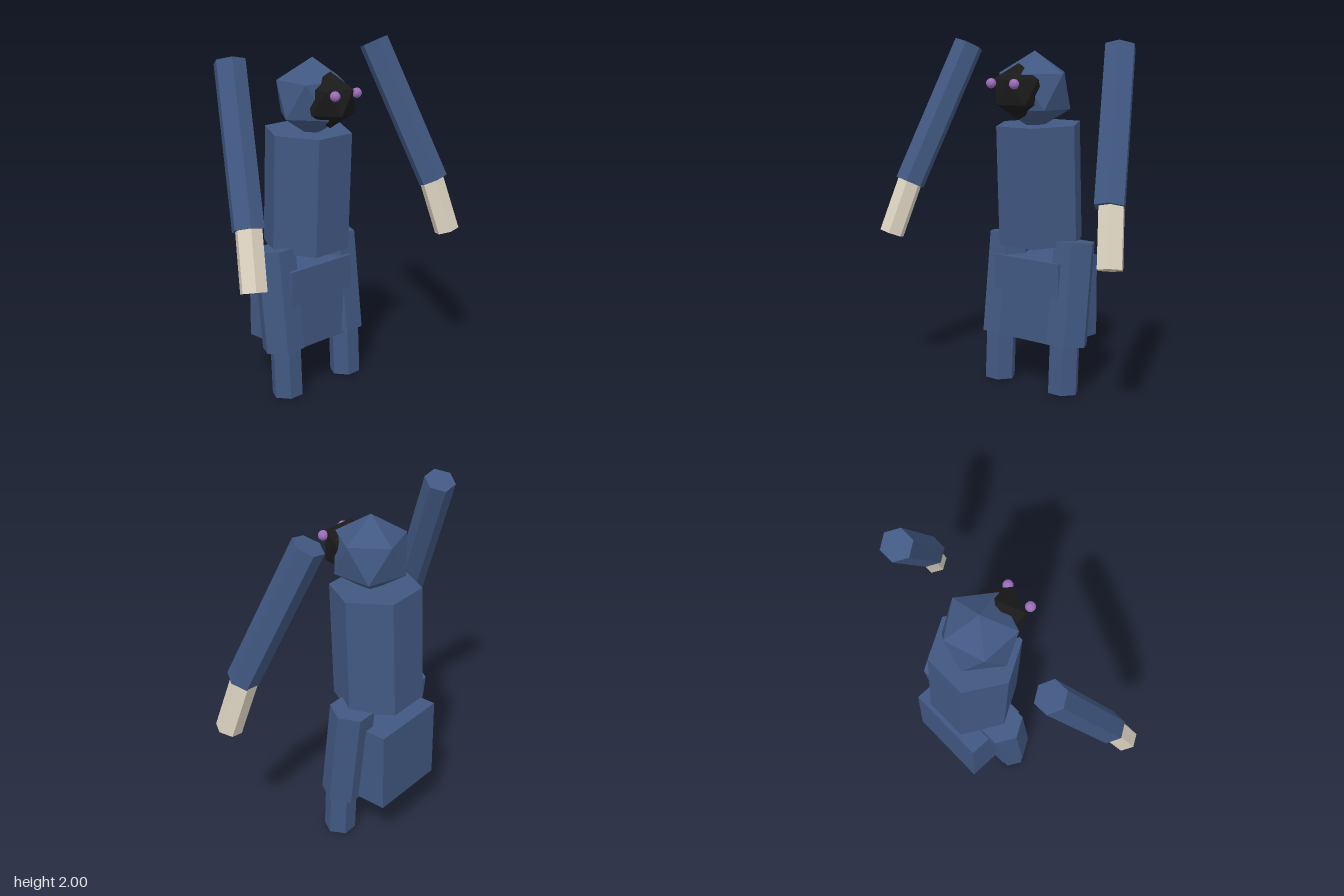
import * as THREE from 'three';

const mat = (name, color) => {
  const m = new THREE.MeshStandardMaterial({ color, flatShading: true });
  m.name = name;
  return m;
};

export function createModel() {
  const blue = mat('slateBlue', 0x415882);
  const bone = mat('bone', 0xdcd3c0);
  const black = mat('black', 0x1b1a1a);
  const purple = mat('purple', 0x9a6cba);
  const group = new THREE.Group();
  const up = new THREE.Vector3(0, 1, 0);

  const add = (name, geometry, material, x, y, z) => {
    const mesh = new THREE.Mesh(geometry, material);
    mesh.name = name;
    mesh.position.set(x, y, z);
    group.add(mesh);
    return mesh;
  };

  // Six-sided prism between two end centres, corners pointing sideways
  const prism = (name, material, radius, bottom, top) => {
    const a = new THREE.Vector3(...bottom);
    const b = new THREE.Vector3(...top);
    const axis = b.clone().sub(a);
    const geometry = new THREE.CylinderGeometry(radius, radius, axis.length(), 6);
    geometry.rotateY(Math.PI / 2);
    const mid = a.clone().add(b).multiplyScalar(0.5);
    const mesh = add(name, geometry, material, mid.x, mid.y, mid.z);
    mesh.quaternion.setFromUnitVectors(up, axis.normalize());
  };

  // Icosahedron standing on one corner
  const gem = (name, material, radius, x, y, z) => {
    const geometry = new THREE.IcosahedronGeometry(radius, 0);
    geometry.rotateZ(-Math.atan(2 / (1 + Math.sqrt(5))));
    add(name, geometry, material, x, y, z);
  };

  // Body
  prism('torso', blue, 0.254, [0, 0.85, -0.139], [0, 1.527, -0.114]);
  add('hips', new THREE.BoxGeometry(0.47, 0.475, 0.366), blue, 0, 0.522, -0.183);

  // Head, face and eyes
  gem('head', blue, 0.224, 0, 1.713, -0.08);
  gem('face', black, 0.156, 0, 1.715, 0.06);
  for (const [side, x] of [['right', -0.09], ['left', 0.075]]) {
    add(side + 'Eye', new THREE.IcosahedronGeometry(0.029, 1), purple, x, 1.763, 0.188);
  }

  // Limbs
  for (const [side, s] of [['right', -1], ['left', 1]]) {
    prism(side + 'Thigh', blue, 0.125, [s * 0.238, 0.285, -0.077], [s * 0.238, 0.873, -0.146]);
    prism(side + 'Shin', blue, 0.091, [s * 0.237, 0.01, -0.047], [s * 0.237, 0.32, -0.062]);
    prism(side + 'Arm', blue, 0.089, [s * 0.725, 1.16, 0.2], [s * 0.547, 1.965, -0.13]);
  }
  prism('rightHand', bone, 0.074, [-0.782, 0.862, 0.3], [-0.717, 1.2, 0.19]);
  prism('leftHand', bone, 0.074, [0.782, 0.85, 0.27], [0.72, 1.2, 0.175]);

  return group;
}
